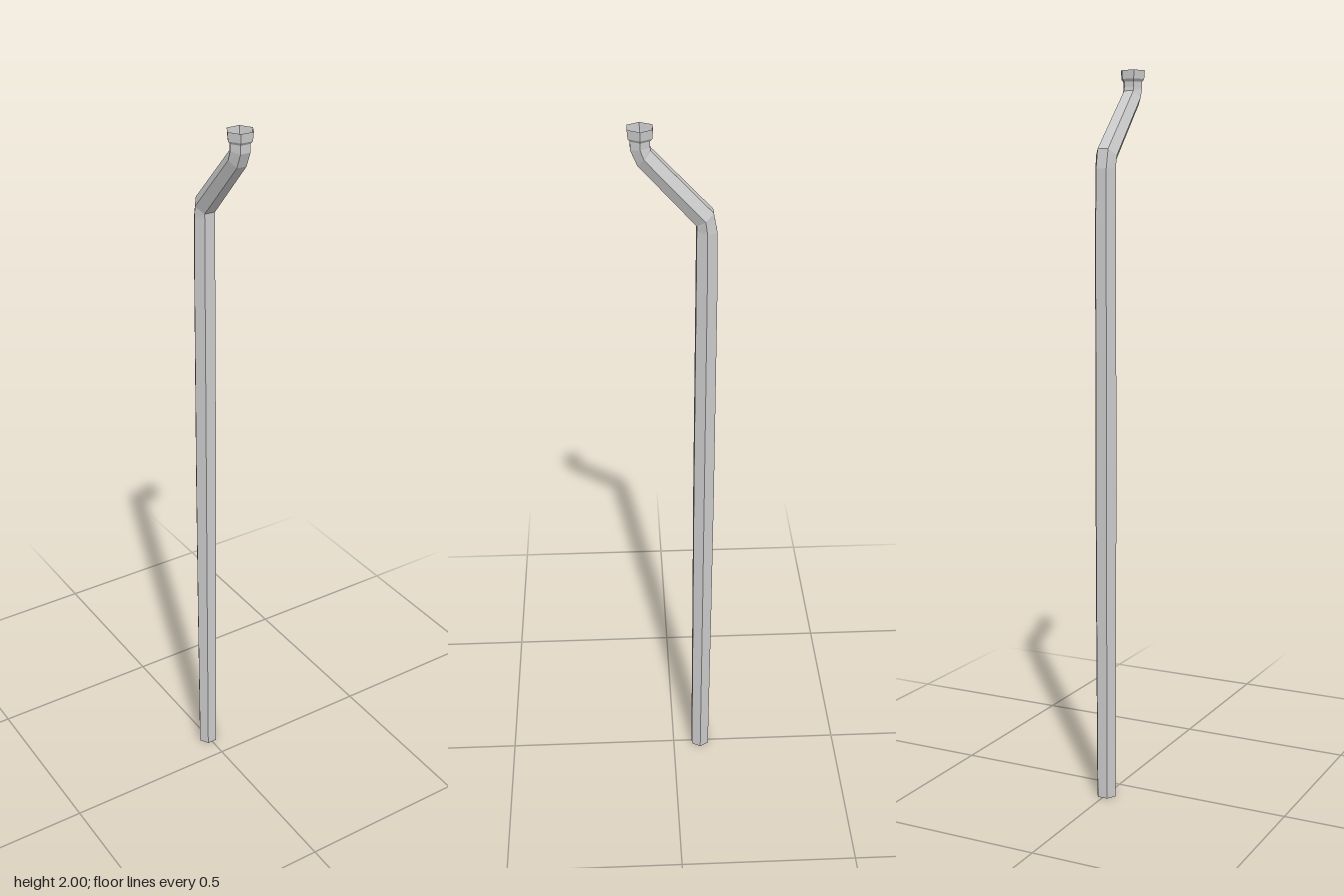
import * as THREE from 'three';

const SIDES = 6;

// Skins hexagonal rings [y, z, radius, tilt in degrees], listed from bottom to top
function hexPipe(name, rings, material) {
  const positions = [], index = [];
  rings.forEach(([y, z, r, tilt = 0]) => {
    const t = THREE.MathUtils.degToRad(tilt);
    for (let i = 0; i < SIDES; i++) {
      const a = (i / SIDES) * Math.PI * 2;
      const d = Math.sin(a) * r;
      positions.push(Math.cos(a) * r, y + d * Math.sin(t), z + d * Math.cos(t));
    }
  });
  for (let k = 0; k < rings.length - 1; k++) {
    for (let i = 0; i < SIDES; i++) {
      const j = (i + 1) % SIDES;
      const a = k * SIDES + i, b = k * SIDES + j;
      index.push(a, a + SIDES, b, b, a + SIDES, b + SIDES);
    }
  }
  const indexed = new THREE.BufferGeometry();
  indexed.setAttribute('position', new THREE.Float32BufferAttribute(positions, 3));
  indexed.setIndex(index);
  const geometry = indexed.toNonIndexed();
  geometry.computeVertexNormals();
  const mesh = new THREE.Mesh(geometry, material);
  mesh.name = name;
  return mesh;
}

export function createModel() {
  const group = new THREE.Group();
  group.name = 'drainpipe';
  const material = new THREE.MeshStandardMaterial({
    color: 0xcccccc, flatShading: true, side: THREE.DoubleSide,
  });

  // Long downpipe, very slightly swollen in the middle
  group.add(hexPipe('downpipe', [
    [0, -0.082, 0.029],
    [0.55, -0.083, 0.031],
    [0.95, -0.083, 0.032],
    [1.59, -0.083, 0.031],
    [1.735, -0.082, 0.03, 5],
  ], material));

  // Swan-neck offset leading forward to the gutter
  group.add(hexPipe('offsetBend', [
    [1.735, -0.082, 0.03, 5],
    [1.768, -0.077, 0.031, -39],
    [1.928, 0.072, 0.028, -47],
    [1.952, 0.081, 0.028, -8],
    [1.97, 0.081, 0.028],
  ], material));

  // Open flared collar at the inlet
  group.add(hexPipe('inletCollar', [
    [1.97, 0.081, 0.028],
    [1.977, 0.081, 0.034],
    [2, 0.081, 0.036],
  ], material));

  return group;
}
